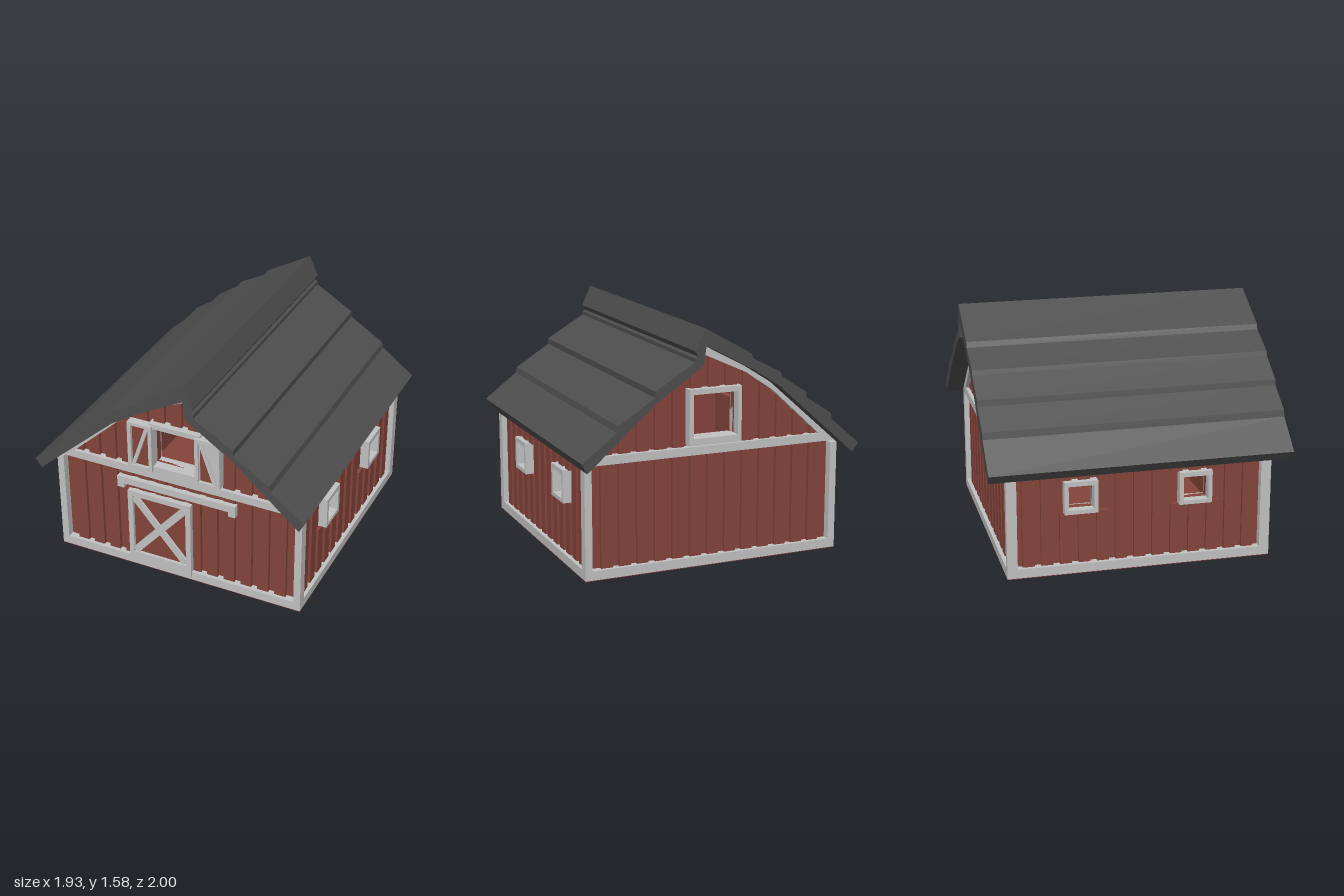
import * as THREE from 'three';

const red = new THREE.MeshStandardMaterial({ name: 'barn red', color: 0x84443b });
const trim = new THREE.MeshStandardMaterial({ name: 'trim grey', color: 0xc2c2c2 });
const slate = new THREE.MeshStandardMaterial({ name: 'roof grey', color: 0x4e4e4e });

// Wall limits and the roof underside, left to right
const XL = -0.875, XR = 0.905, ZH = 0.88;
const UNDER = [[-0.925, 0.685], [-0.87, 0.735], [-0.37, 1.18], [-0.19, 1.295],
  [0.135, 1.47], [0.155, 1.345], [0.47, 1.135], [0.93, 0.735]];
// Lower edge of the gable trim
const INNER = [[-0.74, 0.8], [-0.39, 1.125], [-0.2, 1.255], [0.115, 1.4],
  [0.135, 1.315], [0.45, 1.1], [0.775, 0.8]];

function heightAt(line, x) {
  for (let i = 1; i < line.length; i++) {
    const [x0, y0] = line[i - 1], [x1, y1] = line[i];
    if (x <= x1) return y0 + (y1 - y0) * (x - x0) / (x1 - x0);
  }
  return line[line.length - 1][1];
}

const under = (x) => heightAt(UNDER, x);
const clipUnder = (a, b) =>
  [[a, under(a)], ...UNDER.filter((p) => p[0] > a && p[0] < b), [b, under(b)]];

const poly = (pts) => new THREE.Shape(pts.map((p) => new THREE.Vector2(p[0], p[1])));
const rectPts = (u0, u1, y0, y1) => [[u0, y0], [u1, y0], [u1, y1], [u0, y1]];

export function createModel() {
  const model = new THREE.Group();
  model.name = 'barn';

  // Flat plate from depth d0 to d1 along z, or along x when sideways (u = -z)
  function plate(name, mat, pts, d0, d1, sideways = false, holes = []) {
    const shape = poly(pts);
    holes.forEach((h) => shape.holes.push(poly(rectPts(...h))));
    const geo = new THREE.ExtrudeGeometry(shape, { depth: d1 - d0, bevelEnabled: false });
    geo.translate(0, 0, d0);
    if (sideways) geo.rotateY(Math.PI / 2);
    const mesh = new THREE.Mesh(geo, mat);
    mesh.name = name;
    model.add(mesh);
  }

  function box(name, mat, x0, x1, y0, y1, z0, z1) {
    const mesh = new THREE.Mesh(new THREE.BoxGeometry(x1 - x0, y1 - y0, z1 - z0), mat);
    mesh.position.set((x0 + x1) / 2, (y0 + y1) / 2, (z0 + z1) / 2);
    mesh.name = name;
    model.add(mesh);
  }

  // Straight slanted bar in the front plane
  function bar(name, ax, ay, bx, by, w, z0, z1) {
    const l = Math.hypot(bx - ax, by - ay);
    const nx = -(by - ay) / l * w / 2, ny = (bx - ax) / l * w / 2;
    plate(name, trim, [[ax - nx, ay - ny], [bx - nx, by - ny], [bx + nx, by + ny], [ax + nx, ay + ny]], z0, z1);
  }

  // Raised vertical boards, interrupted at openings
  function boards(u0, u1, start, top, openings, d0, d1, sideways) {
    const pitch = 0.1225, half = 0.039;
    const first = start - Math.floor((start - u0) / pitch) * pitch;
    for (let c = first; c < u1; c += pitch) {
      const a = Math.max(c - half, u0), b = Math.min(c + half, u1);
      if (b - a < 0.01) continue;
      const hit = openings.find((o) => b > o[0] && a < o[1]);
      const topA = top(a), topB = top(b);
      const upper = (y) => [[a, y], [b, y], [b, topB], [a, topA]];
      if (hit) {
        plate('wallBoard', red, rectPts(a, b, 0.06, hit[2]), d0, d1, sideways);
        if (Math.min(topA, topB) > hit[3]) plate('wallBoard', red, upper(hit[3]), d0, d1, sideways);
      } else plate('wallBoard', red, upper(0.06), d0, d1, sideways);
    }
  }

  // Roof with overlapping courses and a lopsided ridge
  plate('roof', slate, [...UNDER, [0.965, 0.8], [0.735, 0.975], [0.725, 1.015], [0.48, 1.17],
    [0.48, 1.21], [0.21, 1.37], [0.21, 1.395], [0.19, 1.405], [0.21, 1.44], [0.145, 1.58],
    [-0.175, 1.4], [-0.19, 1.365], [-0.385, 1.265], [-0.395, 1.235], [-0.57, 1.12],
    [-0.578, 1.08], [-0.755, 0.965], [-0.765, 0.92], [-0.968, 0.745]], -1, 1);

  // Floor
  box('floor', red, XL, XR, 0, 0.004, -ZH, ZH);

  // Gable walls, front and back
  const loftOuter = [-0.165, 0.2, 0.81, 1.175], loftHole = [-0.14, 0.17, 0.855, 1.14];
  const wallL = XL + 0.05, wallR = XR - 0.05;
  const gable = [[wallL, 0.004], [wallR, 0.004], ...clipUnder(wallL, wallR).reverse()];
  const gableTrim = [...INNER, ...clipUnder(XL, XR).reverse()];
  for (const s of [1, -1]) {
    const at = (a, b) => (s > 0 ? [a, b] : [-b, -a]);
    plate('gableWall', red, gable, ...at(0.78, 0.83), false, [loftHole]);
    boards(wallL, wallR, 0.015, (x) => under(x) - 0.02, [loftOuter], ...at(0.83, 0.855), false);
    plate('gableTrim', trim, gableTrim, ...at(0.82, ZH));
    box('crossBeam', trim, XL, XR, 0.745, 0.8, ...at(0.82, ZH));
    box('baseBoard', trim, XL, XR, 0.004, 0.065, ...at(0.82, ZH));
    plate('loftWindowFrame', trim, rectPts(...loftOuter), ...at(0.77, 0.895), false, [loftHole]);
  }

  // Side walls, with two windows each
  const windows = [-0.367, 0.394];
  const outer = windows.map((u) => [u - 0.11, u + 0.11, 0.413, 0.633]);
  const holes = windows.map((u) => [u - 0.083, u + 0.083, 0.44, 0.602]);
  for (const s of [1, -1]) {
    const face = s > 0 ? XR : -XL;
    const at = (a, b) => (s > 0 ? [face + a, face + b] : [-face - b, -face - a]);
    const top = under(s * (face - 0.025));
    plate('sideWall', red, rectPts(-0.83, 0.83, 0.004, top), ...at(-0.1, -0.05), true, holes);
    boards(-0.83, 0.83, -0.367, () => top, outer, ...at(-0.05, -0.025), true);
    box('sideBaseBoard', trim, ...at(-0.06, 0), 0.004, 0.065, -0.82, 0.82);
    outer.forEach((o, i) => plate('windowFrame', trim, rectPts(...o), ...at(-0.11, 0.01), true, [holes[i]]));
    for (const z of [1, -1]) {
      const zs = z > 0 ? [0.812, ZH] : [-ZH, -0.812];
      box('cornerPost', trim, ...at(-0.048, 0), 0.004, under(s * face), ...zs);
    }
  }

  // Barn door with crossed braces
  box('doorPanel', red, -0.335, 0.115, 0.05, 0.6, 0.85, 0.868);
  plate('doorFrame', trim, rectPts(-0.342, 0.12, 0.03, 0.605), 0.85, 0.89, false, [[-0.306, 0.083, 0.11, 0.567]]);
  bar('doorBrace', -0.297, 0.122, 0.074, 0.555, 0.05, 0.86, 0.885);
  bar('doorBrace', -0.297, 0.555, 0.074, 0.122, 0.05, 0.86, 0.884);

  // Sliding rail above the door
  plate('doorRail', trim, [[-0.415, 0.615], [-0.365, 0.615], [-0.365, 0.65], [0.392, 0.65],
    [0.392, 0.615], [0.443, 0.615], [0.443, 0.7], [-0.415, 0.7]], 0.85, 0.89);

  // Loft shutters, folded open
  for (const [x0, x1, lean] of [[-0.312, -0.137, 1], [0.17, 0.345, -1]]) {
    box('shutterPanel', red, x0 + 0.005, x1 - 0.005, 0.825, 1.155, 0.855, 0.892);
    plate('shutterFrame', trim, rectPts(x0, x1, 0.82, 1.162), 0.855, 0.915, false,
      [[x0 + 0.025, x1 - 0.025, 0.842, 1.14]]);
    const lo = lean > 0 ? x0 + 0.036 : x1 - 0.036, hi = lean > 0 ? x1 - 0.036 : x0 + 0.036;
    bar('shutterBrace', lo, 0.842, hi, 1.14, 0.025, 0.87, 0.91);
  }
  plate('shutterInset', trim, [[0.32, 0.86], [0.32, 1.14], [0.21, 1.14]], 0.892, 0.9);

  return model;
}
